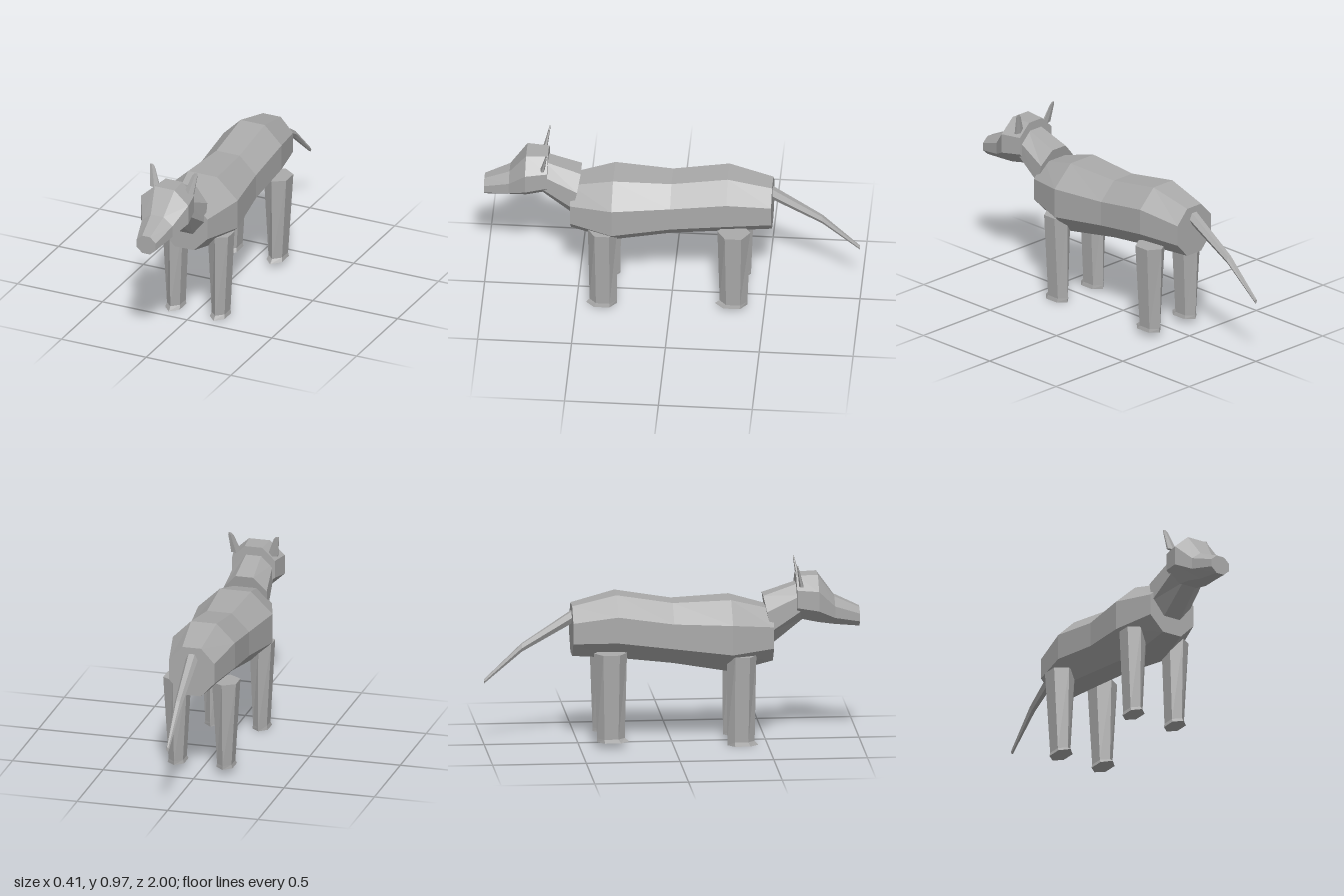
import * as THREE from 'three';

const coat = new THREE.MeshStandardMaterial({ color: 0xaaaaaa });
coat.name = 'greyCoat';
coat.flatShading = true;

// Cross-section facing z, flat on top; tilt leans the ring along z
function ringZ(n, x, y, z, rx, ry, tilt = 0) {
  const k = 1 / Math.cos(Math.PI / n);
  return Array.from({ length: n }, (_, i) => {
    const a = ((i + 0.5) / n) * Math.PI * 2 + (n === 6 ? Math.PI / 6 : 0);
    const dy = Math.sin(a) * ry * k;
    return [x + Math.cos(a) * rx * k, y + dy, z + tilt * dy];
  });
}

// Level hexagon with points at +z and -z; toe pushes the front out
function ringY(x, y, z, rx, rz, toe = 0) {
  return Array.from({ length: 6 }, (_, i) => {
    const a = ((i + 0.5) / 6) * Math.PI * 2;
    const s = Math.sin(a);
    return [x + (Math.cos(a) * rx) / Math.cos(Math.PI / 6), y, z + s * rz + (s > 0 ? toe * s : 0)];
  });
}

// Skin a run of rings and close both ends
function loft(name, rings) {
  const n = rings[0].length;
  const p = [];
  const tri = (a, b, c) => p.push(...a, ...b, ...c);
  for (let r = 0; r < rings.length - 1; r++) {
    for (let i = 0; i < n; i++) {
      const j = (i + 1) % n;
      const [a, b] = [rings[r][i], rings[r][j]];
      const [d, c] = [rings[r + 1][i], rings[r + 1][j]];
      tri(a, b, c);
      tri(a, c, d);
    }
  }
  const first = rings[0];
  const last = rings[rings.length - 1];
  for (let i = 1; i < n - 1; i++) {
    tri(first[0], first[i + 1], first[i]);
    tri(last[0], last[i], last[i + 1]);
  }
  const geo = new THREE.BufferGeometry();
  geo.setAttribute('position', new THREE.Float32BufferAttribute(p, 3));
  geo.computeVertexNormals();
  const mesh = new THREE.Mesh(geo, coat);
  mesh.name = name;
  return mesh;
}

export function createModel() {
  const model = new THREE.Group();
  model.name = 'dog';

  // Body: octagonal sections from rump to chest
  const body = [
    [0.62, -0.535, 0.125, 0.135],
    [0.645, -0.3, 0.171, 0.17],
    [0.603, 0, 0.165, 0.163],
    [0.585, 0.31, 0.206, 0.194],
    [0.58, 0.535, 0.137, 0.14],
  ];
  model.add(loft('body', body.map(([y, z, rx, ry]) => ringZ(8, 0, y, z, rx, ry))));

  // Neck
  model.add(loft('neck', [
    ringZ(8, 0, 0.663, 0.51, 0.119, 0.128, -0.2),
    ringZ(8, 0, 0.762, 0.69, 0.1, 0.094, -0.15),
  ]));

  // Head: skull to muzzle tip
  const head = [
    [0.783, 0.66, 0.118, 0.115],
    [0.773, 0.775, 0.14, 0.128],
    [0.703, 0.865, 0.09, 0.075],
    [0.664, 1, 0.056, 0.051],
  ];
  model.add(loft('head', head.map(([y, z, rx, ry]) => ringZ(8, 0, y, z, rx, ry))));

  // Tail: hexagonal, tapering
  model.add(loft('tail', [
    ringZ(6, 0, 0.345, -1, 0.007, 0.011),
    ringZ(6, 0, 0.525, -0.8, 0.018, 0.021),
    ringZ(6, 0, 0.69, -0.53, 0.029, 0.033),
  ]));

  for (const [side, s] of [['left', 1], ['right', -1]]) {
    // Ears: thin blades leaning back and outward
    model.add(loft(side + 'Ear', [
      ringY(s * 0.131, 0.967, 0.661, 0.008, 0.003),
      ringY(s * 0.126, 0.955, 0.663, 0.014, 0.004),
      ringY(s * 0.1, 0.85, 0.684, 0.028, 0.012),
    ]));

    // Legs with slightly flared feet
    model.add(loft(side + 'FrontLeg', [
      ringY(s * 0.134, 0.487, 0.362, 0.06, 0.078),
      ringY(s * 0.132, 0.022, 0.358, 0.038, 0.073),
      ringY(s * 0.132, 0, 0.362, 0.043, 0.076, 0.012),
    ]));
    model.add(loft(side + 'HindLeg', [
      ringY(s * 0.135, 0.515, -0.338, 0.066, 0.088),
      ringY(s * 0.134, 0.052, -0.336, 0.04, 0.074),
      ringY(s * 0.134, 0.032, -0.334, 0.045, 0.076, 0.022),
    ]));
  }
  return model;
}
